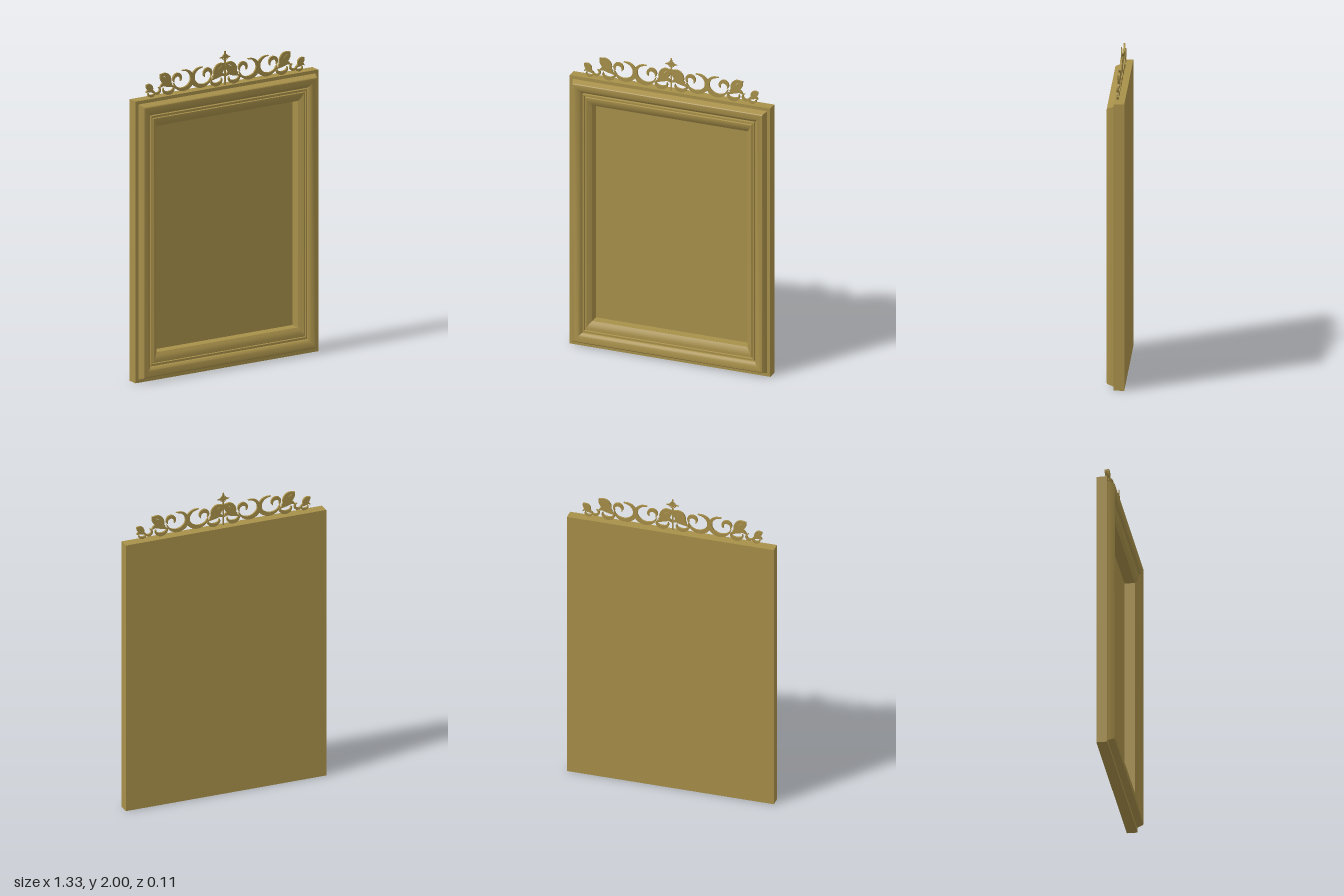
import * as THREE from 'three';
import { toCreasedNormals } from 'three/addons/utils/BufferGeometryUtils.js';

const WIDTH = 1.326, HEIGHT = 1.785;
const gold = new THREE.MeshStandardMaterial({ color: 0xa8904a, side: THREE.DoubleSide });

function add(group, geometry, name) {
  const mesh = new THREE.Mesh(geometry, gold);
  mesh.name = name;
  group.add(mesh);
  return mesh;
}

// Corners of a rectangle inset from the outer edge, counter-clockwise from the front.
function ring([ix, iy, z]) {
  const x = WIDTH / 2 - ix;
  return [[-x, iy, z], [x, iy, z], [x, HEIGHT - iy, z], [-x, HEIGHT - iy, z]];
}

// Mitred frame: a moulding profile carried round the four sides.
function mouldingGeometry(profile) {
  const positions = [];
  const quad = (a, b, c, d) => positions.push(...a, ...b, ...c, ...a, ...c, ...d);
  const rings = profile.map(ring);
  for (let i = 0; i < rings.length - 1; i++) {
    for (let k = 0; k < 4; k++) {
      const n = (k + 1) % 4;
      quad(rings[i][k], rings[i][n], rings[i + 1][n], rings[i + 1][k]);
    }
  }
  const geometry = new THREE.BufferGeometry();
  geometry.setAttribute('position', new THREE.Float32BufferAttribute(positions, 3));
  return toCreasedNormals(geometry, 0.5);
}

// Flat tapering stroke along a curve, pointed at both ends.
function strokeGeometry(points, width, depth = 0.012) {
  const curve = new THREE.CatmullRomCurve3(points.map(([x, y]) => new THREE.Vector3(x, y, 0)));
  const left = [], right = [], steps = 28;
  for (let i = 0; i <= steps; i++) {
    const t = i / steps, p = curve.getPointAt(t), d = curve.getTangentAt(t);
    const w = 0.0015 + width / 2 * Math.sin(Math.PI * t);
    left.push(new THREE.Vector2(p.x - d.y * w, p.y + d.x * w));
    right.unshift(new THREE.Vector2(p.x + d.y * w, p.y - d.x * w));
  }
  const geometry = new THREE.ExtrudeGeometry(new THREE.Shape([...left, ...right]), { depth, bevelEnabled: false });
  return geometry.translate(0, 0, -0.01 - depth / 2);
}

// Points along an elliptical arc; angles in degrees.
function arc(cx, cy, rx, ry, from, to) {
  return Array.from({ length: 9 }, (_, i) => {
    const a = THREE.MathUtils.degToRad(from + (to - from) * i / 8);
    return [cx + rx * Math.cos(a), cy + ry * Math.sin(a)];
  });
}

// Large crescent with a small hook curling inside it.
function drawScroll(stroke) {
  stroke('scroll', 0.024, arc(0.07, 0.065, 0.068, 0.06, 85, 350));
  stroke('hook', 0.02, arc(0.11, 0.075, 0.027, 0.028, 215, -35));
}

// Spray of leaves over a curl, growing from its origin towards +x.
function drawSprig(stroke) {
  stroke('leaf', 0.036, [[0.097, 0.085], [0.08, 0.055], [0.05, 0.03], [0.01, 0.01]]);
  stroke('leafTip', 0.022, [[0.097, 0.082], [0.055, 0.075], [0.03, 0.05], [0.02, 0.015]]);
  stroke('lowerLeaf', 0.026, [[0.1, 0], [0.075, 0.017], [0.04, 0.01], [0, -0.01]]);
  stroke('curl', 0.02, arc(0.037, -0.015, 0.038, 0.028, 150, 380));
}

export function createModel() {
  const model = new THREE.Group();
  model.name = 'ornateFrame';

  // Profile as [side inset, top and bottom inset, z], from back edge to panel.
  const profile = [
    [0, 0, -0.055], [0, 0, 0.012], [0.022, 0.021, 0.012],
    [0.034, 0.034, 0.05], [0.038, 0.039, 0.054], [0.046, 0.047, 0.055],
    [0.06, 0.061, 0.053], [0.074, 0.076, 0.048], [0.084, 0.087, 0.042], [0.09, 0.093, 0.034],
    [0.091, 0.094, 0.024], [0.096, 0.1, 0.024], [0.098, 0.102, 0.036], [0.106, 0.111, 0.036],
    [0.108, 0.114, 0.028], [0.112, 0.118, 0.028], [0.114, 0.121, 0.036], [0.121, 0.13, 0.036],
    [0.136, 0.158, 0.026], [0.15, 0.175, 0.015], [0.15, 0.175, -0.048],
  ];
  add(model, mouldingGeometry(profile), 'frameMoulding');

  // Recessed panel and back board
  const panel = add(model, new THREE.PlaneGeometry(WIDTH - 0.3, HEIGHT - 0.35), 'recessedPanel');
  panel.position.set(0, HEIGHT / 2, -0.048);
  const back = add(model, new THREE.PlaneGeometry(WIDTH, HEIGHT), 'backBoard');
  back.position.set(0, HEIGHT / 2, -0.055);
  back.rotation.y = Math.PI;

  // Scrolled cresting, mirrored about the centre
  const cresting = new THREE.Group();
  cresting.name = 'cresting';
  model.add(cresting);

  // Stroke drawer with its origin at (x, y), facing either way and scaled.
  const pen = (prefix, x, y, facing, scale, side) => (name, width, points) => add(cresting,
    strokeGeometry(points.map(([px, py]) => [side * (x + facing * scale * px), y + scale * py]), width * scale),
    prefix + name);

  for (const side of [1, -1]) {
    // Each half holds two scrolls back to back, each ending in a sprig.
    for (const facing of [1, -1]) {
      const prefix = facing > 0 ? 'outer_' : 'inner_';
      drawScroll(pen(prefix, 0.238, 1.8, facing, 1, side));
      drawSprig(pen(prefix, 0.238 + facing * 0.137, 1.84, facing, 1, side));
    }
    // Small sprig at the end, joined by a hook
    drawSprig(pen('end_', 0.515, 1.822, 1, 0.6, side));
    pen('end_', 0.495, 1.826, 1, 1, side)('hook', 0.012, arc(0, 0, 0.022, 0.02, 110, 360));
  }

  // Central finial: stem, cross arms, tip and ring
  const stem = add(cresting, new THREE.BoxGeometry(0.009, 0.215, 0.004), 'finialStem');
  stem.position.set(0, 1.8925, -0.01);
  add(cresting, strokeGeometry([[-0.04, 1.96], [0, 1.96], [0.04, 1.96]], 0.014, 0.004), 'finialArms');
  add(cresting, strokeGeometry([[0, 1.93], [0, 1.97], [0, 2]], 0.016, 0.004), 'finialTip');
  const loop = add(cresting, new THREE.TorusGeometry(0.019, 0.003, 6, 24), 'finialRing');
  loop.position.set(0, 1.96, -0.01);
  return model;
}
